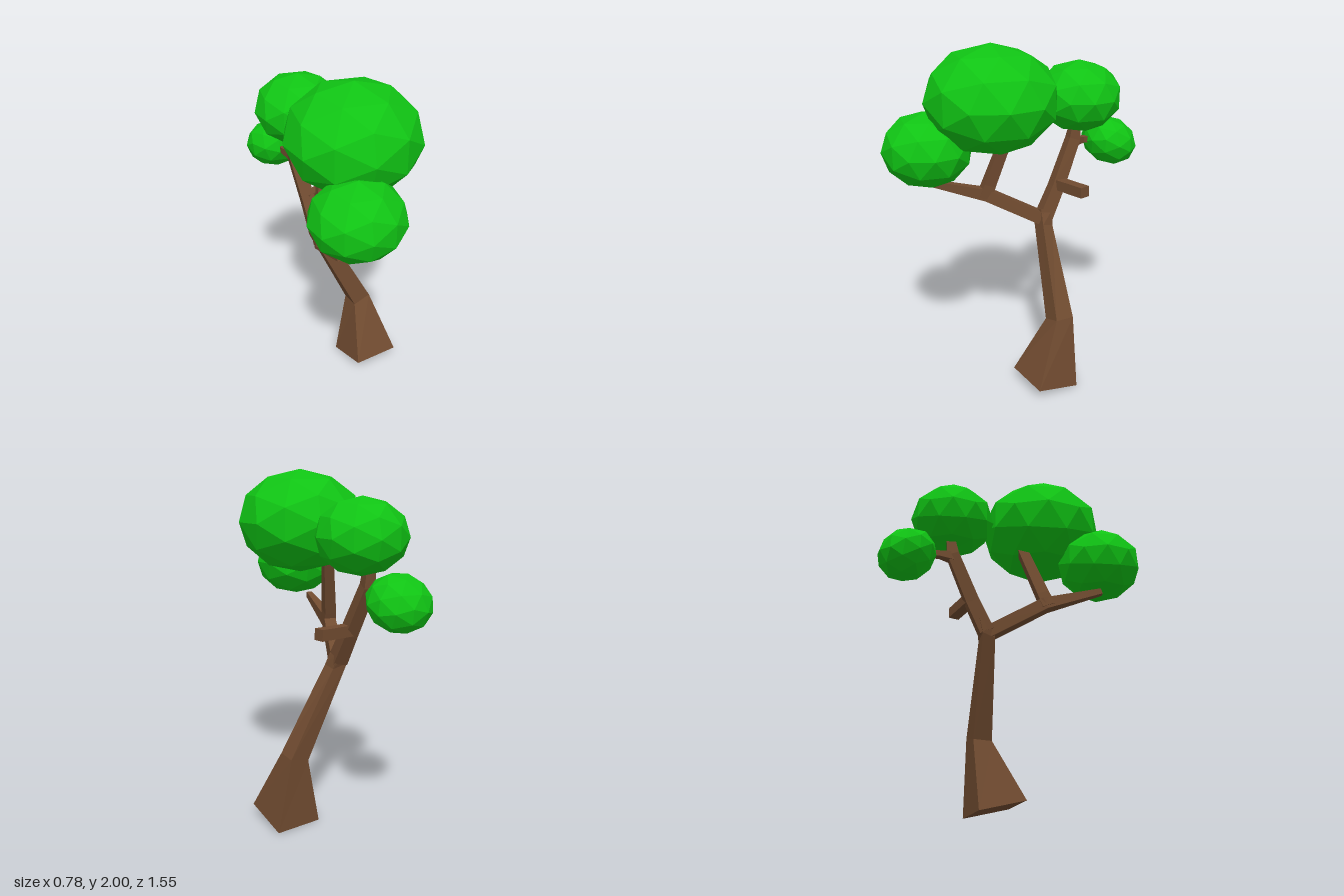
import * as THREE from 'three';

const bark = new THREE.MeshStandardMaterial({ color: 0x704b30, flatShading: true });
const leaves = new THREE.MeshStandardMaterial({ color: 0x10c414, flatShading: true });

// Skin a series of four-cornered rings, with a cap at each end
function skin(name, rings) {
  const pos = rings.flat(2), index = [], last = (rings.length - 1) * 4;
  for (let i = 0; i < last; i += 4) {
    for (let k = 0; k < 4; k++) {
      const a = i + k, b = i + (k + 1) % 4;
      index.push(a, b, b + 4, a, b + 4, a + 4);
    }
  }
  index.push(0, 2, 1, 0, 3, 2, last, last + 1, last + 2, last, last + 2, last + 3);
  const geo = new THREE.BufferGeometry();
  geo.setAttribute('position', new THREE.Float32BufferAttribute(pos, 3));
  geo.setIndex(index);
  const flat = geo.toNonIndexed();
  flat.computeVertexNormals();
  const mesh = new THREE.Mesh(flat, bark);
  mesh.name = name;
  return mesh;
}

// Square limb through points [x, y, z, halfWidth]
function limb(name, points) {
  const p = points.map(q => new THREE.Vector3(q[0], q[1], q[2]));
  const rings = points.map((q, i) => {
    const t = p[Math.min(i + 1, p.length - 1)].clone().sub(p[Math.max(i - 1, 0)]).normalize();
    const ref = Math.abs(t.x) > 0.8 ? new THREE.Vector3(0, 1, 0) : new THREE.Vector3(1, 0, 0);
    const u = ref.addScaledVector(t, -ref.dot(t)).normalize();
    const v = t.clone().cross(u);
    return [[-1, -1], [1, -1], [1, 1], [-1, 1]].map(([a, b]) =>
      p[i].clone().addScaledVector(u, a * q[3]).addScaledVector(v, b * q[3]).toArray());
  });
  return skin(name, rings);
}

// Faceted ellipsoid of leaves
function foliage(name, center, radii, tilt = 0) {
  const mesh = new THREE.Mesh(new THREE.IcosahedronGeometry(1, 1).scale(...radii), leaves);
  mesh.position.set(...center);
  mesh.rotation.x = tilt;
  mesh.name = name;
  return mesh;
}

export function createModel() {
  const tree = new THREE.Group();
  tree.name = 'tree';

  // Leaning trunk: corners run front left, front right, back right, back left
  tree.add(skin('trunk', [
    [[0.115, 0.07, 0.095], [0.385, 0.07, 0.02], [0.305, 0, -0.24], [0.04, 0, -0.165]],
    [[0.145, 0.40, -0.095], [0.25, 0.435, -0.125], [0.225, 0.43, -0.235], [0.115, 0.40, -0.20]],
    [[-0.10, 0.92, -0.10], [-0.012, 0.935, -0.125], [-0.035, 0.92, -0.19], [-0.125, 0.94, -0.17]],
    [[-0.12, 1.0, -0.115], [-0.05, 1.02, -0.125], [-0.06, 1.02, -0.205], [-0.135, 1.02, -0.19]],
  ]));

  // Branches
  tree.add(
    limb('frontBranch', [[-0.075, 0.96, -0.13, 0.036], [-0.145, 1.115, 0.18, 0.035], [-0.13, 1.225, 0.51, 0.017]]),
    limb('upperBranch', [[-0.145, 1.10, 0.195, 0.036], [-0.14, 1.18, 0.165, 0.034], [-0.09, 1.50, 0.055, 0.028]]),
    limb('backBranch', [[-0.08, 0.96, -0.15, 0.042], [-0.11, 1.13, -0.235, 0.038], [-0.165, 1.40, -0.355, 0.034], [-0.165, 1.50, -0.37, 0.025]]),
    limb('backTwig', [[-0.165, 1.385, -0.35, 0.028], [-0.2, 1.38, -0.43, 0.018], [-0.21, 1.375, -0.52, 0.018]]),
    limb('sideTwig', [[-0.12, 1.15, -0.24, 0.031], [0.10, 1.157, -0.335, 0.031]]),
  );

  // Leaf clusters
  tree.add(
    foliage('mainFoliage', [0.03, 1.71, 0.185], [0.36, 0.29, 0.365]),
    foliage('backFoliage', [-0.122, 1.662, -0.365], [0.248, 0.203, 0.245]),
    foliage('frontFoliage', [-0.05, 1.445, 0.525], [0.25, 0.205, 0.247]),
    foliage('smallFoliage', [-0.222, 1.355, -0.61], [0.172, 0.14, 0.172], -0.5),
  );
  return tree;
}
